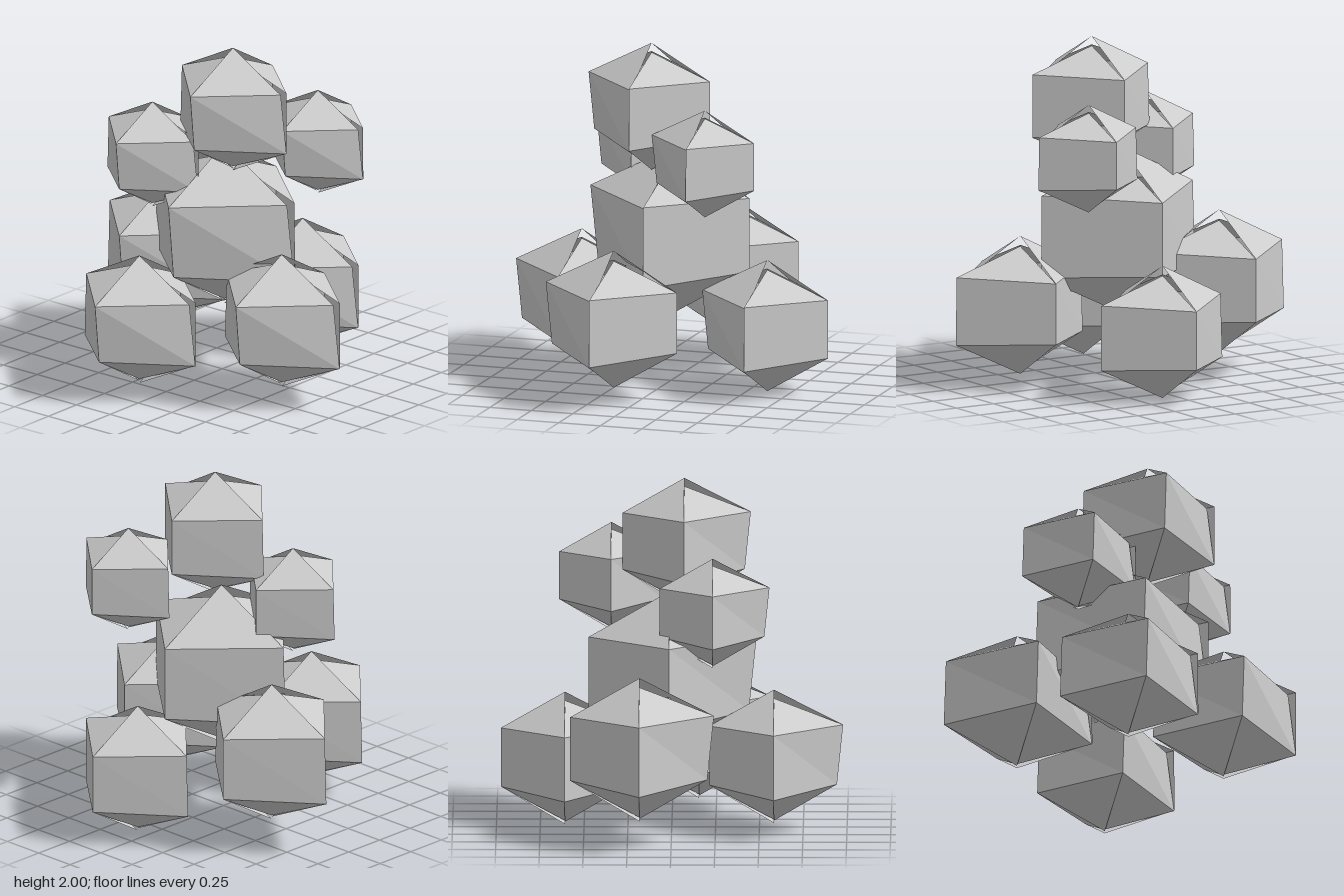
import * as THREE from 'three';

// Five columns around a four-sided boulder, from the open seam on +x
// through back, left and front to the seam again.
// dir: x, z direction; up / low: [radius, height] of the two rings
const COLUMNS = [
  { dir: [1, 0], up: [0.399, 0.18], low: [0.4, -0.183] },
  { dir: [0, -1], up: [0.353, 0.163], low: [0.353, -0.165] },
  { dir: [-1, 0], up: [0.378, 0.174], low: [0.389, -0.183] },
  { dir: [0, 1], up: [0.379, 0.171], low: [0.345, -0.16] },
  { dir: [1, 0], up: [0.355, 0.16], low: [0.398, -0.187] },
];
// Each side has its own slightly uneven tip
const TOPS = [0.31, 0.365, 0.317, 0.365];
const BOTTOMS = [-0.375, -0.355, -0.362, -0.352];

function boulderGeometry() {
  const point = ({ dir }, [r, y]) => [dir[0] * r, y, dir[1] * r];
  const positions = [];
  const tri = (...corners) => corners.forEach((c) => positions.push(...c));
  for (let i = 0; i < 4; i++) {
    // columns run counterclockwise from above, so i is the left edge seen from outside
    const left = COLUMNS[i], right = COLUMNS[i + 1];
    const lu = point(left, left.up), ll = point(left, left.low);
    const ru = point(right, right.up), rl = point(right, right.low);
    tri([0, TOPS[i], 0], lu, ru);
    tri(ru, lu, rl);
    tri(lu, ll, rl);
    tri(ll, [0, BOTTOMS[i], 0], rl);
  }
  const geometry = new THREE.BufferGeometry();
  geometry.setAttribute('position', new THREE.Float32BufferAttribute(positions, 3));
  geometry.computeVertexNormals();
  return geometry;
}

// name, centre, scale
const BOULDERS = [
  ['topBoulder', [0.137, 1.633, 0.071], 1],
  ['coreBoulder', [0.004, 0.887, -0.012], 1.31],
  ['upperFrontBoulder', [-0.324, 1.299, 0.235], 0.855],
  ['upperBackBoulder', [0.42, 1.385, -0.347], 0.842],
  ['baseRightBoulder', [-0.563, 0.553, -0.181], 1.12],
  ['baseLeftBoulder', [0.567, 0.474, 0.152], 1.08],
  ['baseFrontBoulder', [-0.13, 0.439, 0.583], 1.043],
  ['baseBackBoulder', [0.088, 0.39, -0.61], 1.035],
];

export function createModel() {
  const group = new THREE.Group();
  group.name = 'boulderPile';
  const stone = new THREE.MeshStandardMaterial({
    color: 0xcccccc, flatShading: true, side: THREE.DoubleSide,
  });
  stone.name = 'stoneGrey';

  const geometry = boulderGeometry();
  for (const [name, centre, scale] of BOULDERS) {
    const boulder = new THREE.Mesh(geometry, stone);
    boulder.name = name;
    boulder.position.set(...centre);
    boulder.scale.setScalar(scale);
    group.add(boulder);
  }
  return group;
}
